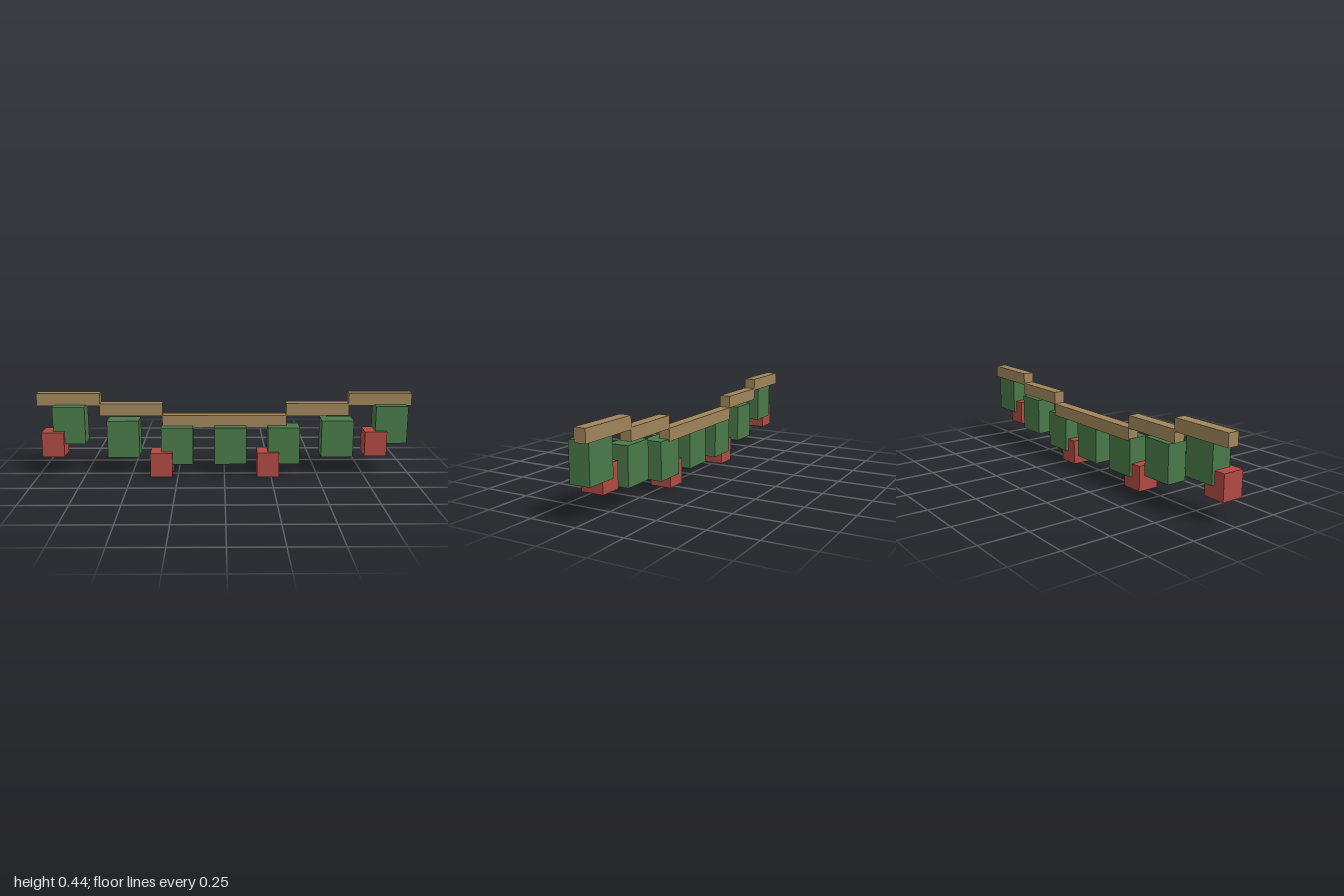
import * as THREE from 'three';

export function createModel() {
  const group = new THREE.Group();
  const paint = (name, color) => {
    const m = new THREE.MeshStandardMaterial({ color });
    m.name = name;
    return m;
  };
  const wood = paint('wood', 0xa0855a);
  const leaf = paint('leaf green', 0x4a7a48);
  const berry = paint('berry red', 0xb04a42);

  // Box placed by its centre in x, its underside in y and its centre in z
  const block = (name, material, [w, h, d], x, bottom, z) => {
    const mesh = new THREE.Mesh(new THREE.BoxGeometry(w, h, d), material);
    mesh.name = name;
    mesh.position.set(x, bottom + h / 2, z);
    group.add(mesh);
  };

  // Stepped beam sagging towards the middle
  block('beamMiddle', wood, [0.667, 0.067, 0.061], 0, 0.253, -0.038);
  for (const side of [-1, 1]) {
    block('beamInner', wood, [0.336, 0.067, 0.061], side * 0.499, 0.318, -0.038);
    block('beamOuter', wood, [0.336, 0.067, 0.061], side * 0.832, 0.374, -0.038);
  }

  // Evenly spaced leaf clumps following the beam
  [0.179, 0.103, 0.064, 0.064, 0.064, 0.103, 0.179].forEach((bottom, i) =>
    block('leafClump', leaf, [0.17, 0.2, 0.109], -0.823 + i * 0.285, bottom, -0.008));

  // Berries hanging in front of every other clump
  [0.114, 0, 0, 0.114].forEach((bottom, i) =>
    block('berry', berry, [0.117, 0.133, 0.117], -0.907 + i * 0.57, bottom, 0.0115));

  return group;
}
